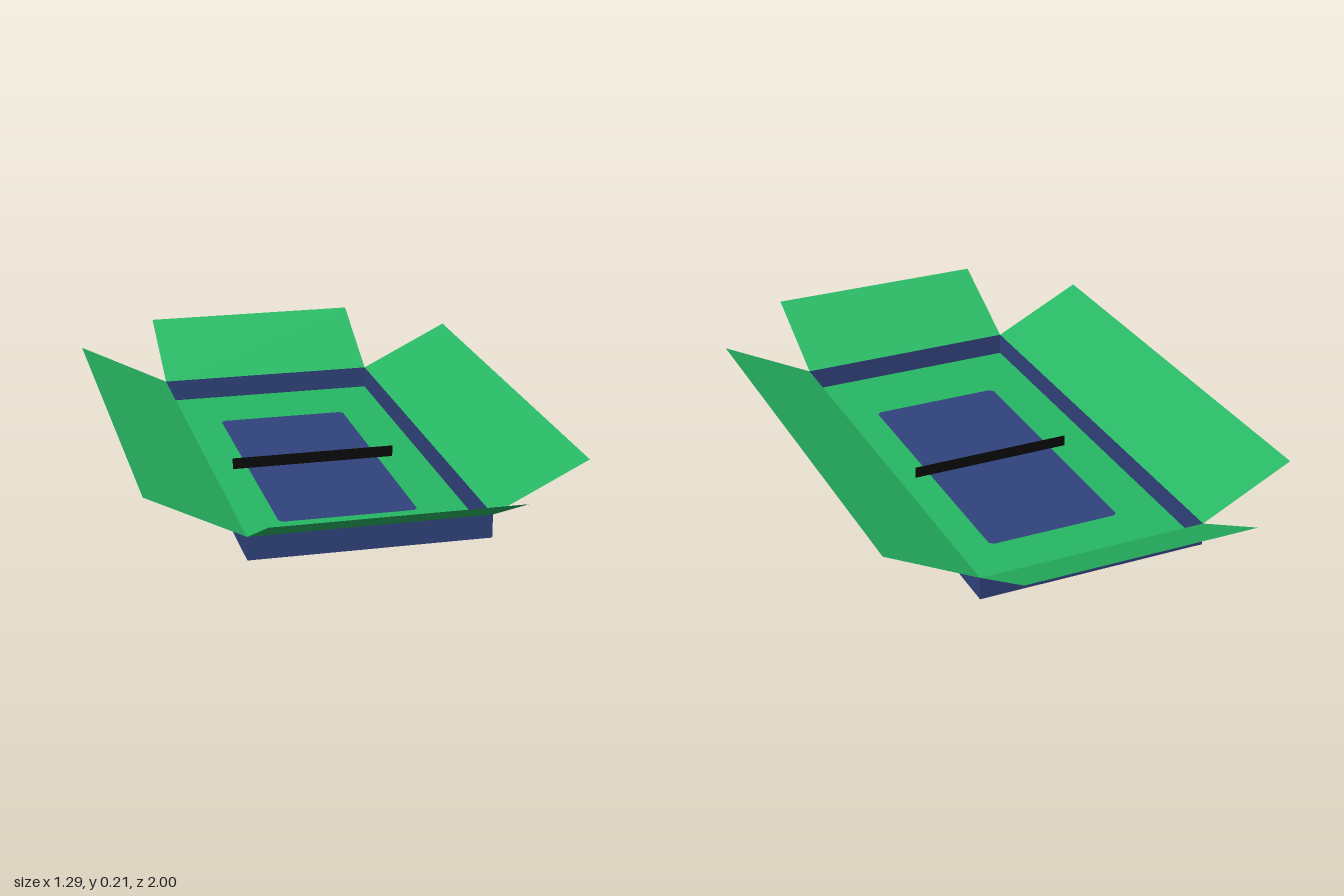
import * as THREE from 'three';

const HX = 0.357, HZ = 0.714;   // half size of the floor
const WALL = 0.071;             // wall height
const OUT = 0.286, TOP = 0.214; // flap reach and flap tip height

function paint(name, color) {
  const m = new THREE.MeshStandardMaterial({ color, side: THREE.DoubleSide });
  m.name = name;
  return m;
}

// Flat four-sided panel from its corners
function panel(name, corners, material) {
  const g = new THREE.BufferGeometry();
  g.setAttribute('position', new THREE.Float32BufferAttribute(corners.flat(), 3));
  g.setIndex([0, 1, 2, 0, 2, 3]);
  g.computeVertexNormals();
  const mesh = new THREE.Mesh(g, material);
  mesh.name = name;
  return mesh;
}

// Rectangle outline with small clipped corners
function outline(target, hx, hz, c) {
  const pts = [[hx - c, -hz], [hx, c - hz], [hx, hz - c], [hx - c, hz],
    [c - hx, hz], [-hx, hz - c], [-hx, c - hz], [c - hx, -hz]];
  return target.setFromPoints(pts.map(([x, y]) => new THREE.Vector2(x, y)));
}

export function createModel() {
  const green = paint('green', 0x27b864);
  const blue = paint('blue', 0x31437d);
  const black = paint('black', 0x0a0a0a);
  const model = new THREE.Group();
  model.name = 'openBox';

  function flat(name, shape, material) {
    const mesh = new THREE.Mesh(new THREE.ShapeGeometry(shape).rotateX(-Math.PI / 2), material);
    mesh.name = name;
    model.add(mesh);
  }

  // Floor with a blue panel set into it
  const floor = new THREE.Shape([[-HX, -HZ], [HX, -HZ], [HX, HZ], [-HX, HZ]]
    .map(([x, y]) => new THREE.Vector2(x, y)));
  floor.holes.push(outline(new THREE.Path(), 0.211, 0.46, 0.012));
  flat('floor', floor, green);
  flat('floorInset', outline(new THREE.Shape(), 0.211, 0.46, 0.012), blue);

  // Walls and the flaps that lean outward from their top edges
  for (const s of [1, -1]) {
    const side = s > 0 ? 'left' : 'right';
    const end = s > 0 ? 'front' : 'back';
    const x = s * HX, z = s * HZ, xo = s * (HX + OUT), zo = s * (HZ + OUT);
    model.add(
      panel(side + 'Wall', [[x, 0, z], [x, 0, -z], [x, WALL, -z], [x, WALL, z]], blue),
      panel(side + 'Flap', [[x, WALL, -z], [x, WALL, z], [xo, TOP, z], [xo, TOP, -z]].reverse(), green),
      panel(end + 'Wall', [[-x, 0, z], [x, 0, z], [x, WALL, z], [-x, WALL, z]], blue),
      panel(end + 'Flap', [[-x, WALL, z], [x, WALL, z], [x, TOP, zo], [-x, TOP, zo]].reverse(), green),
    );
  }

  // Upright strip across the middle of the floor
  model.add(panel('centreStrip',
    [[-0.26, 0, 0], [0.26, 0, 0], [0.26, 0.036, 0], [-0.26, 0.036, 0]], black));

  // Face every flap upward
  model.traverse((o) => {
    if (!o.name.endsWith('Flap')) return;
    if (o.geometry.attributes.normal.getY(0) < 0) {
      o.geometry.setIndex([0, 2, 1, 0, 3, 2]);
      o.geometry.computeVertexNormals();
    }
  });
  return model;
}
